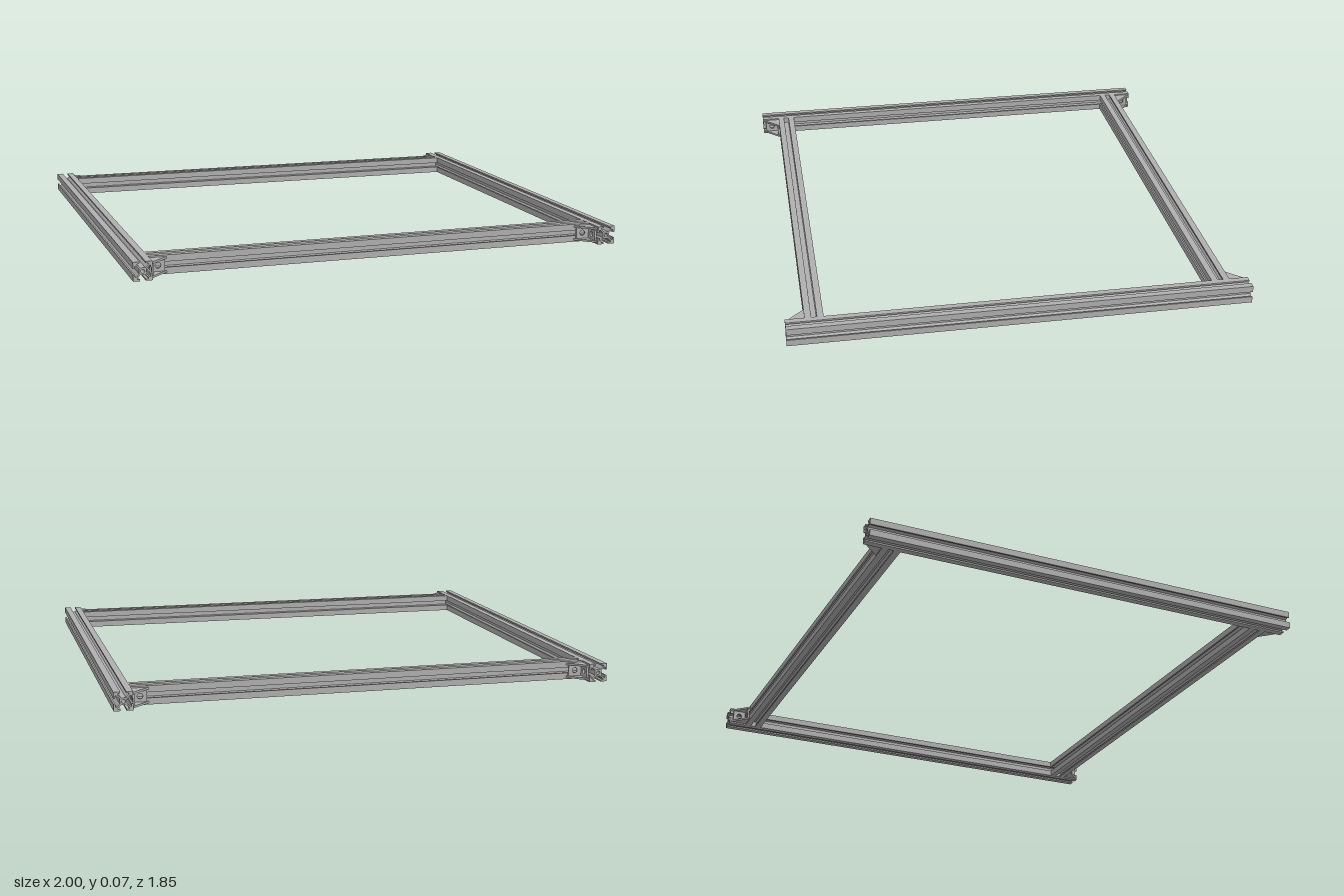
import * as THREE from 'three';

const SIZE = 0.074;          // side of the square extrusion
const U = SIZE / 20;         // profile drawn on a 20 unit grid
const RAIL_X = 1 - SIZE / 2; // centre of side rails
const BEAM_Z = 0.813;        // centre of cross beams
const INNER = 1 - SIZE;      // inner face of side rails
const LENGTH = 2 * INNER;

// T-slot cross-section: one slotted side repeated four times, with a centre bore
function slotProfile() {
  const side = [[-10, 10], [-3, 10], [-3, 8.2], [-5.8, 8.2], [-5.8, 6.9], [-2.6, 3.7],
    [2.6, 3.7], [5.8, 6.9], [5.8, 8.2], [3, 8.2], [3, 10]];
  const points = [];
  for (let i = 0; i < 4; i++) {
    for (const [x, y] of side) {
      points.push(new THREE.Vector2(x * U, y * U)
        .rotateAround(new THREE.Vector2(), -i * Math.PI / 2));
    }
  }
  const shape = new THREE.Shape(points);
  shape.holes.push(new THREE.Path().absarc(0, 0, 2.1 * U, 0, Math.PI * 2, false));
  return shape;
}

function extrude(shape, depth) {
  return new THREE.ExtrudeGeometry(shape, { depth, bevelEnabled: false, curveSegments: 16 })
    .translate(0, 0, -depth / 2);
}

// Hollow corner bracket: legs run along +x and +z from the origin
function makeBracket(material) {
  const leg = 0.07, width = 0.062, wall = 0.008;
  const bracket = new THREE.Group();
  const add = (name, geometry) => {
    const mesh = new THREE.Mesh(geometry, material);
    mesh.name = name;
    bracket.add(mesh);
    return mesh;
  };

  // Triangular cheeks above and below
  const triangle = new THREE.Shape([new THREE.Vector2(0, 0),
    new THREE.Vector2(leg, 0), new THREE.Vector2(0, leg)]);
  for (const s of [-1, 1]) {
    const cheek = add(s > 0 ? 'upperCheek' : 'lowerCheek', extrude(triangle, wall));
    cheek.rotation.x = Math.PI / 2;
    cheek.position.y = s * (width - wall) / 2;
  }

  // Flanges with bolt holes
  const plate = new THREE.Shape([new THREE.Vector2(0, -width / 2 + wall),
    new THREE.Vector2(leg - wall, -width / 2 + wall),
    new THREE.Vector2(leg - wall, width / 2 - wall), new THREE.Vector2(0, width / 2 - wall)]);
  plate.holes.push(new THREE.Path().absarc(leg / 2, 0, 0.011, 0, Math.PI * 2, false));
  add('beamFlange', extrude(plate, wall)).position.z = wall / 2;
  const railFlange = add('railFlange', extrude(plate, wall));
  railFlange.rotation.y = -Math.PI / 2;
  railFlange.position.x = wall / 2;
  return bracket;
}

export function createModel() {
  const model = new THREE.Group();
  model.name = 'slottedFrame';
  const aluminium = new THREE.MeshStandardMaterial({ color: 0xb0b0b0 });
  aluminium.name = 'aluminium';

  const bar = extrude(slotProfile(), LENGTH);
  for (const s of [-1, 1]) {
    // Side rails, front to back
    const rail = new THREE.Mesh(bar, aluminium);
    rail.name = s > 0 ? 'leftRail' : 'rightRail';
    rail.position.set(s * RAIL_X, SIZE / 2, 0);
    model.add(rail);

    // Cross beams between the rails
    const beam = new THREE.Mesh(bar, aluminium);
    beam.name = s > 0 ? 'frontBeam' : 'backBeam';
    beam.rotation.y = Math.PI / 2;
    beam.position.set(0, SIZE / 2, s * BEAM_Z);
    model.add(beam);
  }

  // Brackets in the four outer corners, a quarter turn apart in orientation
  const corners = [['backRightBracket', -1, -1, Math.PI / 2], ['frontRightBracket', -1, 1, 0],
    ['frontLeftBracket', 1, 1, -Math.PI / 2], ['backLeftBracket', 1, -1, Math.PI]];
  for (const [name, sx, sz, turn] of corners) {
    const bracket = makeBracket(aluminium);
    bracket.name = name;
    bracket.rotation.y = turn;
    bracket.position.set(sx * INNER, SIZE / 2, sz * (BEAM_Z + SIZE / 2));
    model.add(bracket);
  }
  return model;
}
